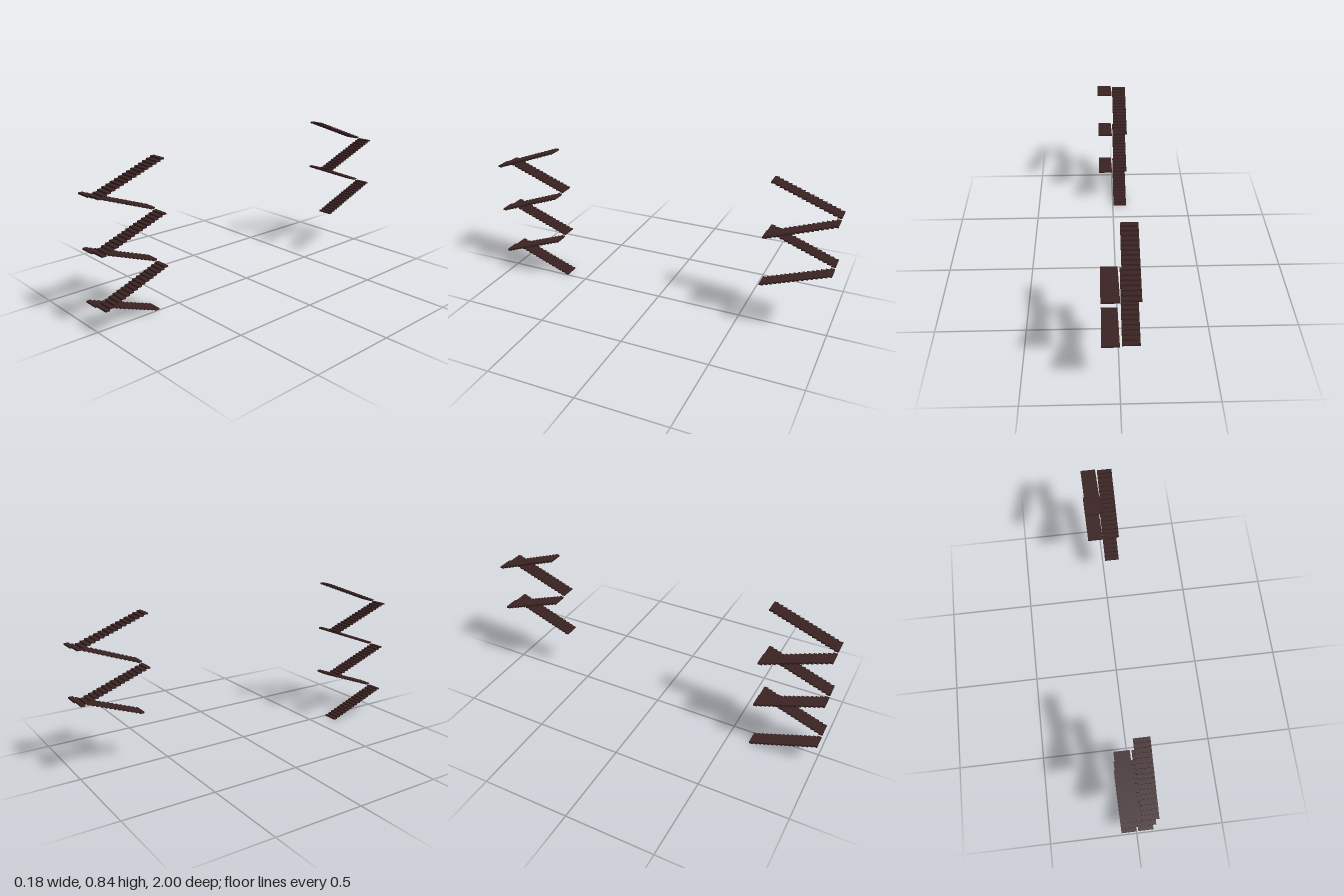
import * as THREE from 'three';

const STEPS = 16;       // treads in a flight
const RISE = 0.14;      // height of a flight
const INNER = 0.625;    // distance of the inner end from the centre
const OUTER = 1;
const WIDTH = 0.085;
const LANE = 0.0475;    // sideways offset of each flight

export function createModel() {
  const model = new THREE.Group();
  model.name = 'staircases';

  const brown = new THREE.MeshStandardMaterial({ color: 0x3b2323 });
  brown.name = 'dark brown';

  const h = RISE / STEPS;
  const d = (OUTER - INNER) / STEPS;
  const treadGeometry = new THREE.BoxGeometry(WIDTH, h, d);

  // One straight flight, climbing outward or inward
  function makeFlight(outward) {
    const flight = new THREE.Group();
    flight.name = 'flight';
    for (let i = 0; i < STEPS; i++) {
      const tread = new THREE.Mesh(treadGeometry, brown);
      tread.name = 'tread';
      const along = (i + 0.5) * d;
      tread.position.set(0, (i + 0.5) * h, outward ? INNER + along : OUTER - along);
      flight.add(tread);
    }
    return flight;
  }

  // Zigzag tower of flights that alternate between two lanes
  function makeTower(name, first, count) {
    const tower = new THREE.Group();
    tower.name = name;
    for (let k = 0; k < count; k++) {
      const outward = k % 2 === 0;
      const flight = makeFlight(outward);
      flight.position.set(outward ? -LANE : LANE, (first + k) * RISE, 0);
      tower.add(flight);
    }
    return tower;
  }

  model.add(makeTower('frontStaircase', 0, 6));

  // The rear staircase is turned round and starts two flights higher
  const rear = makeTower('rearStaircase', 2, 4);
  rear.rotation.y = Math.PI;
  model.add(rear);

  return model;
}
